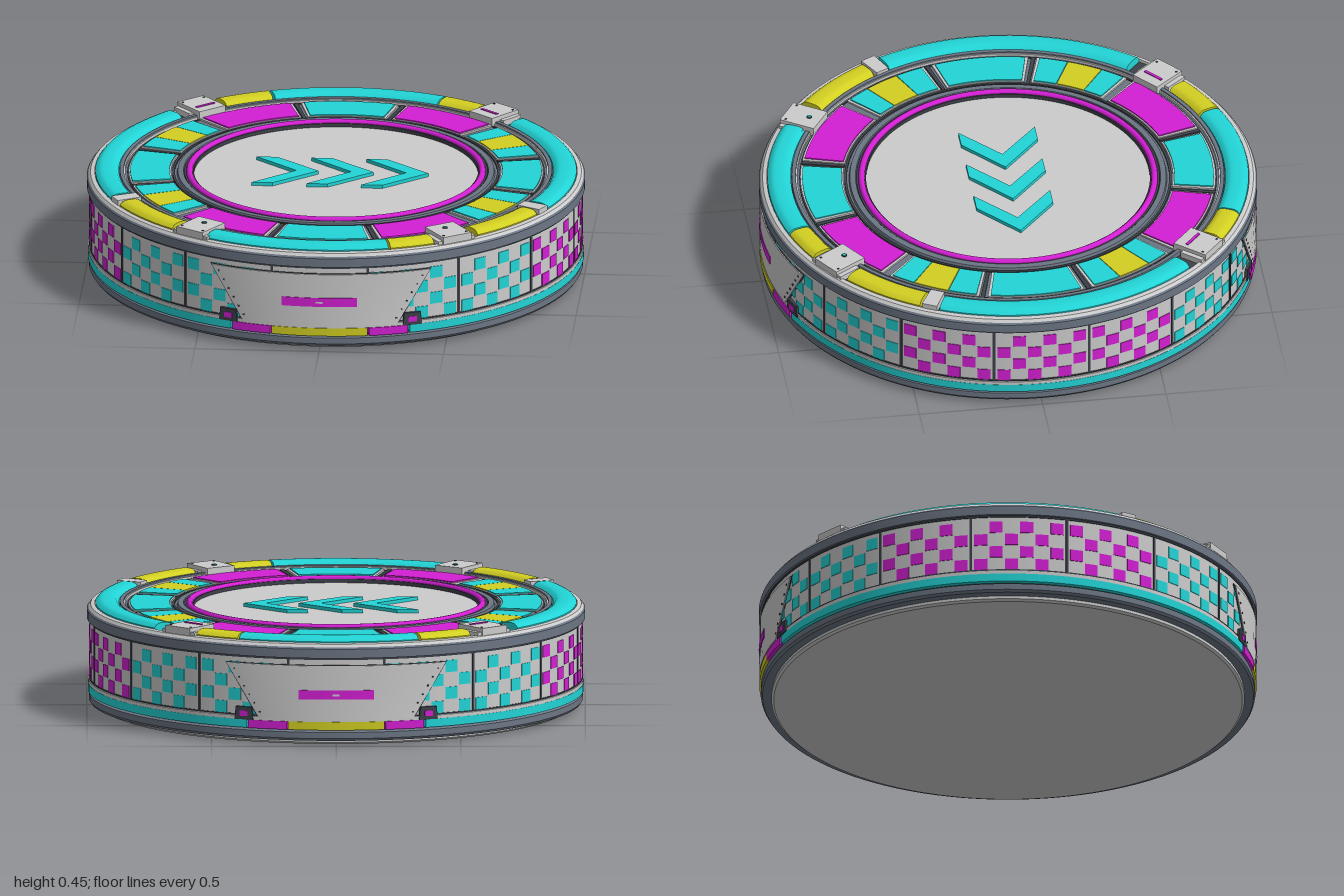
import * as THREE from 'three';
import { toCreasedNormals } from 'three/addons/utils/BufferGeometryUtils.js';

const mat = (name, color) => new THREE.MeshStandardMaterial({ name, color });
const RAD = Math.PI / 180;

export function createModel() {
  const root = new THREE.Group();
  root.name = 'roundPlatform';
  const light = mat('lightGrey', 0xcccccc);
  const slate = mat('slateGrey', 0x6c7684);
  const dark = mat('darkGrey', 0x3c4048);
  const cyan = mat('cyan', 0x22d4d6);
  const magenta = mat('magenta', 0xd41fd4);
  const yellow = mat('yellow', 0xd2cf22);

  const add = (name, geometry, material, parent = root) => {
    const mesh = new THREE.Mesh(geometry, material);
    mesh.name = name;
    parent.add(mesh);
    return mesh;
  };
  const group = (name) => {
    const g = new THREE.Group();
    g.name = name;
    root.add(g);
    return g;
  };

  // Full ring or disc from a radius/height profile, listed bottom to top
  const turned = (name, points, material) => {
    const pts = points.map(([r, y]) => new THREE.Vector2(r, y));
    return add(name, toCreasedNormals(new THREE.LatheGeometry(pts, 128), 0.5), material);
  };

  // Box bent round the y axis; angles in degrees, 0 = front, 90 = model's left.
  // crown lowers the inner and outer top edges, taper narrows the foot.
  const arc = (name, a0, a1, r0, r1, y0, y1, material, parent, { crown = 0, taper = 0 } = {}) => {
    const n = Math.max(1, Math.ceil((a1 - a0) / 3));
    const g = new THREE.BoxGeometry(1, 1, 1, n, 1, crown ? 8 : 1);
    const p = g.attributes.position;
    const mid = (a0 + a1) / 2;
    for (let i = 0; i < p.count; i++) {
      const u = p.getX(i), v = p.getY(i) + 0.5, t = p.getZ(i);
      const a = (mid + u * (a1 - a0) * (1 - taper * (1 - v))) * RAD;
      const r = r0 + (t + 0.5) * (r1 - r0);
      const y = y0 + v * (y1 - y0 - crown * Math.pow(2 * t, 4));
      p.setXYZ(i, r * Math.sin(a), y, r * Math.cos(a));
    }
    g.computeVertexNormals();
    return add(name, g, material, parent);
  };

  // Stacked body
  turned('plinth', [[0, 0], [0.94, 0], [0.95, 0.008], [0.95, 0.022]], light);
  turned('baseBand', [[0.94, 0.02], [0.985, 0.02], [0.992, 0.03], [0.992, 0.055], [0.975, 0.062]], slate);
  turned('baseGroove', [[0.975, 0.055], [0.975, 0.07]], dark);
  turned('wall', [[0.97, 0.098], [0.995, 0.098], [0.995, 0.112], [0.988, 0.116], [0.988, 0.36]], light);
  turned('ledgeLine', [[0.988, 0.113], [0.992, 0.113], [0.992, 0.119], [0.988, 0.119]], dark);
  turned('rimGroove', [[0.988, 0.35], [0.992, 0.35], [0.992, 0.358]], dark);
  turned('rim', [[0.985, 0.356], [1, 0.358], [1, 0.395], [0.993, 0.403]], slate);
  turned('rimBevel', [[0.994, 0.402], [0.985, 0.413], [0.968, 0.416], [0.966, 0.4]], light);
  turned('outerChannel', [[0.97, 0.404], [0.85, 0.404]], dark);
  turned('outerChannelLip', [[0.868, 0.4], [0.868, 0.424], [0.852, 0.424], [0.85, 0.4]], slate);
  turned('lipLine', [[0.852, 0.4], [0.852, 0.418], [0.846, 0.418], [0.846, 0.4]], light);
  turned('panelFloor', [[0.85, 0.407], [0.6, 0.407]], slate);
  turned('panelOuterLine', [[0.838, 0.407], [0.838, 0.411], [0.832, 0.411], [0.832, 0.407]], dark);
  turned('panelInnerLine', [[0.657, 0.4], [0.657, 0.414], [0.647, 0.414], [0.647, 0.4]], dark);
  turned('innerCollar', [[0.64, 0.4], [0.635, 0.418], [0.612, 0.418], [0.607, 0.4]], slate);
  turned('collarShadowLine', [[0.609, 0.4], [0.609, 0.415], [0.57, 0.415], [0.57, 0.397]], dark);
  turned('centreDisc', [[0.575, 0.4], [0, 0.4]], light);
  const glow = add('innerRing', new THREE.TorusGeometry(0.588, 0.013, 10, 128), magenta);
  glow.rotation.x = Math.PI / 2;
  glow.position.y = 0.415;

  // Three arrows on the centre disc
  const arrow = new THREE.Shape([[-0.33, -0.155], [-0.245, -0.155], [-0.07, 0], [-0.245, 0.155],
    [-0.33, 0.155], [-0.16, 0]].map(([x, y]) => new THREE.Vector2(x, y)));
  const arrowGeo = new THREE.ExtrudeGeometry(arrow, { depth: 0.014, bevelEnabled: false }).rotateX(-Math.PI / 2);
  for (let i = 0; i < 3; i++) add('arrow', arrowGeo, cyan).position.set(i * 0.221, 0.4, 0);

  // Raised outer ring, broken into coloured segments
  const outer = group('outerRing');
  [[65.5, 131, cyan], [40, 60.5, yellow], [17, 28, yellow], [-28.6, 16.5, cyan], [-60, -39, yellow],
    [-131, -65, cyan], [200.7, 214, yellow], [156.2, 200, cyan], [144.5, 155.8, yellow]]
    .forEach(([a, b, m]) => arc('ringSegment', a, b, 0.872, 0.966, 0.4, 0.438, m, outer, { crown: 0.018 }));
  for (const a of [63, -62.5]) arc('ringClip', a - 1.9, a + 1.9, 0.866, 0.97, 0.4, 0.437, light, outer);

  // Four square brackets over the ring
  for (const [deg, back] of [[33.7, false], [-33, false], [139.5, true], [-139.5, true]]) {
    const b = group('bracket');
    b.rotation.y = deg * RAD;
    const box = (name, w, h, d, x, y, z, m) =>
      add(name, new THREE.BoxGeometry(w, h, d), m, b).position.set(x, y, z);
    box('bracketPlate', 0.13, 0.04, 0.15, 0, 0.424, 0.905, light);
    box('bracketFoot', 0.17, 0.026, 0.1, 0, 0.415, 0.925, light);
    for (const s of [-1, 1]) box('bracketScrew', 0.007, 0.003, 0.007, s * 0.052, 0.445, 0.96, dark);
    if (back) box('bracketLight', 0.09, 0.005, 0.012, 0, 0.445, 0.88, magenta);
    else {
      add('bracketLamp', new THREE.CylinderGeometry(0.011, 0.011, 0.005, 12), dark, b).position.set(0, 0.445, 0.88);
      add('bracketLampLens', new THREE.CylinderGeometry(0.007, 0.007, 0.005, 12), cyan, b).position.set(0, 0.447, 0.88);
    }
  }

  // Inner ring of coloured panels, mirrored in both directions
  const panels = group('topPanels');
  const frame = (a, b) => arc('panelFrame', a - 0.8, b + 0.8, 0.662, 0.832, 0.4, 0.414, light, panels);
  const tile = (a, b, m) => arc('panelTile', a, b, 0.668, 0.826, 0.4, 0.419, m, panels);
  for (const c of [0, 90, 180, 270]) {
    frame(c - 12.8, c + 12.8);
    tile(c - 12.8, c + 12.8, cyan);
  }
  for (const c of [0, 180]) for (const s of [-1, 1]) {
    const span = (f, a, b, m) => f(c + Math.min(s * a, s * b), c + Math.max(s * a, s * b), m);
    span(frame, 16.8, 44);
    span(tile, 16.8, 44, magenta);
    span(frame, 48, 73.2);
    span(tile, 48, 54.8, cyan);
    span(tile, 55, 65, yellow);
    span(tile, 65.2, 73.2, cyan);
  }
  for (const c of [0, 90, 180, 270]) for (const s of [-1, 1])
    arc('panelRib', c + s * 15 - 0.6, c + s * 15 + 0.6, 0.66, 0.835, 0.4, 0.413, dark, panels);

  // Sixteen wall bays: checks on each side, sign plates at front and back
  const wall = group('wallChecks');
  const BAY = 22.5, COL = BAY / 6.3, ROW = 0.0545;
  for (let i = 0; i < 16; i++) {
    const c = i * BAY, fromSide = Math.abs(((c + 90) % 180) - 0);
    const side = Math.min(fromSide, 180 - fromSide);
    if (side < 80) arc('wallSeam', c + 10.95, c + 11.55, 0.985, 0.991, 0.1, 0.355, dark, wall);
    else arc('wallSeam', c + 10.95, c + 11.55, 0.985, 0.989, 0.1, 0.355, dark, wall);
    if (side > 70) continue;
    const m = side < 30 ? magenta : cyan;
    for (let row = 0; row < 4; row++) for (let col = 0; col < 6; col++) {
      if ((row + col + i) % 2) continue;
      const a = c + (col - 3) * COL, y = 0.116 + row * ROW;
      arc('wallCheck', a + 0.25, a + COL - 0.25, 0.986, 0.9905, y + 0.003, y + ROW - 0.003, m, wall);
    }
  }

  for (const c of [0, 180]) {
    const sign = group('signPlate');
    arc('signBacking', c - 26.6, c + 26.6, 0.98, 0.993, 0.104, 0.329, dark, sign, { taper: 0.31 });
    arc('signFace', c - 26.2, c + 26.2, 0.98, 0.997, 0.107, 0.326, light, sign, { taper: 0.31 });
    arc('signBar', c - 8.7, c + 8.7, 0.99, 1, 0.19, 0.227, magenta, sign);
    arc('signBarDot', c - 0.8, c + 0.8, 0.99, 1.001, 0.204, 0.211, light, sign);
    for (const s of [-1, 1]) {
      for (let k = 0; k < 6; k++) {
        const a = c + s * (18 + k * 1.25), y = 0.13 + k * 0.034;
        arc('signRivet', a - 0.2, a + 0.2, 0.99, 0.998, y, y + 0.006, dark, sign);
      }
      const f = c + s * 21.8;
      arc('signFoot', f - 2, f + 2, 0.97, 1, 0.098, 0.15, dark, sign, { taper: -0.15 });
      arc('signFootLight', f - 1, f + 1, 0.98, 1.002, 0.112, 0.134, magenta, sign);
    }
    // Lower band: yellow and magenta under the sign
    arc('lowerYellowStrip', c - 11.2, c + 11.2, 0.95, 0.998, 0.065, 0.098, yellow, sign);
    for (const s of [-1, 1]) {
      const m = c + s * 16.1;
      arc('lowerMagentaStrip', m - 4.6, m + 4.6, 0.95, 0.999, 0.065, 0.098, magenta, sign);
    }
    arc('lowerCyanBand', c + 21.2, c + 158.8, 0.95, 0.996, 0.065, 0.098, cyan, sign);
  }
  return root;
}
